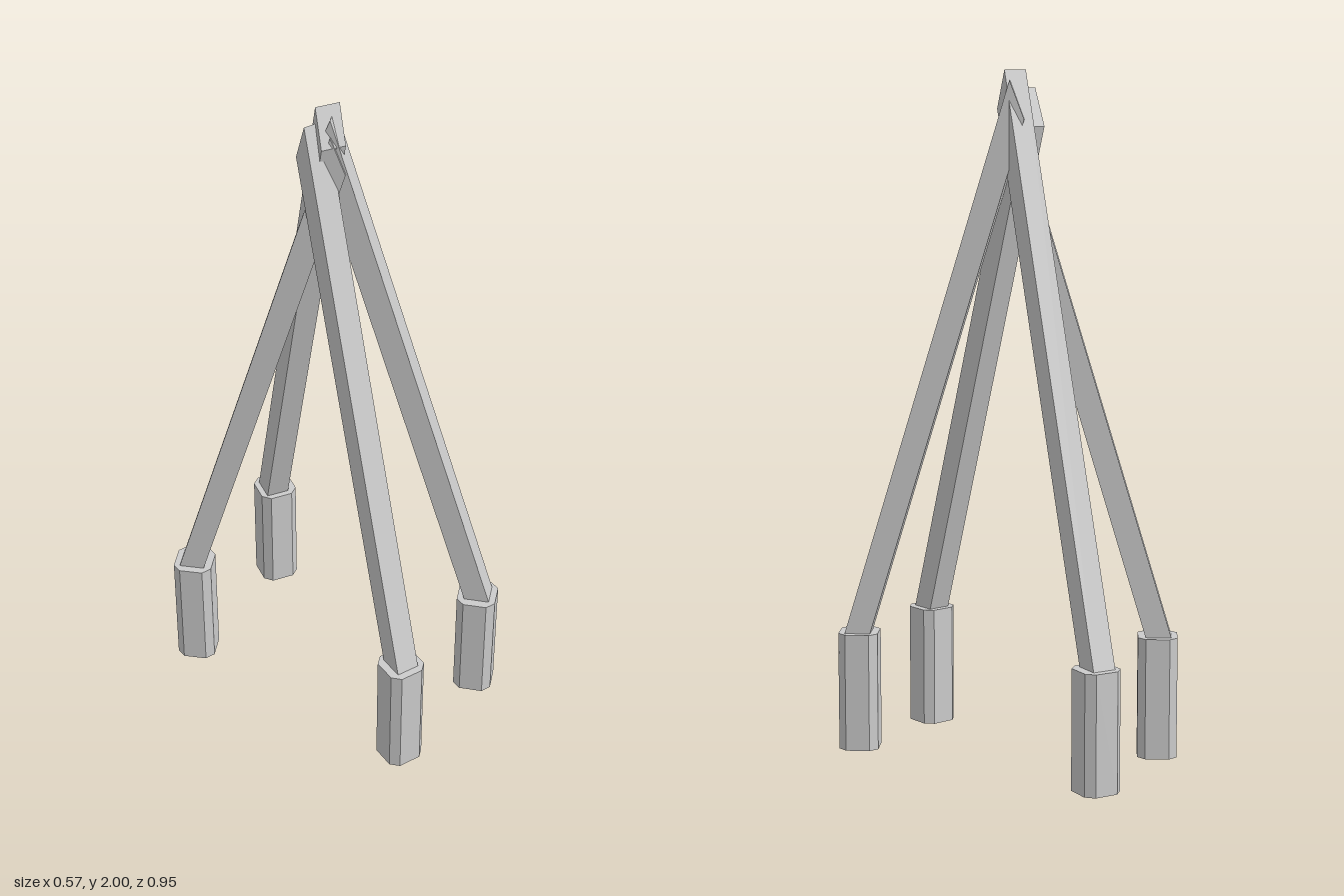
import * as THREE from 'three';

const FOOT_TOP = 0.36;
const material = new THREE.MeshStandardMaterial({ color: 0xcccccc, flatShading: true });

// Square block with chamfered vertical corners
function footGeometry(bottom, half = 0.058, c = 0.023) {
  const k = half - c;
  const corners = [[half, k], [k, half], [-k, half], [-half, k], [-half, -k], [-k, -half], [k, -half], [half, -k]];
  const shape = new THREE.Shape(corners.map(([x, y]) => new THREE.Vector2(x, y)));
  const geometry = new THREE.ExtrudeGeometry(shape, { depth: FOOT_TOP - bottom, bevelEnabled: false });
  return geometry.rotateX(-Math.PI / 2).translate(0, bottom, 0);
}

// Leaning square pole: x points outward, the origin is the middle of its outer top edge
function poleGeometry(run, rise, width = 0.07, thickness = 0.075) {
  const slope = run / rise;
  const low = rise + 0.06; // sunk into the foot
  const cut = 0.11;        // drop of the steep end cut
  const shape = new THREE.Shape([
    new THREE.Vector2(0, 0),
    new THREE.Vector2(slope * cut - thickness, -cut),
    new THREE.Vector2(slope * low - thickness, -low),
    new THREE.Vector2(slope * low, -low),
  ]);
  const geometry = new THREE.ExtrudeGeometry(shape, { depth: width, bevelEnabled: false });
  return geometry.translate(0, 0, -width / 2);
}

// foot: centre [x, z]; base: outer edge of the pole at the foot top [x, z]; top: outer top edge [x, y, z]
const legs = [
  { name: 'backRightLeg', foot: [-0.217, -0.383], base: [-0.235, -0.418], top: [-0.018, 1.92, 0], bottom: 0 },
  { name: 'backLeftLeg', foot: [0.215, -0.406], base: [0.228, -0.439], top: [-0.022, 2, -0.012], bottom: 0.01 },
  { name: 'frontRightLeg', foot: [-0.21, 0.393], base: [-0.222, 0.427], top: [-0.052, 1.95, -0.03], bottom: 0 },
  { name: 'frontLeftLeg', foot: [0.176, 0.404], base: [0.195, 0.438], top: [-0.011, 1.97, -0.003], bottom: 0.01 },
];

export function createModel() {
  const model = new THREE.Group();
  model.name = 'fourLeggedStand';
  for (const { name, foot, base, top, bottom } of legs) {
    const leg = new THREE.Group();
    leg.name = name;
    const dx = base[0] - top[0];
    const dz = base[1] - top[2];
    const turn = Math.atan2(-dz, dx);

    const pole = new THREE.Mesh(poleGeometry(Math.hypot(dx, dz), top[1] - FOOT_TOP), material);
    pole.name = 'pole';
    pole.position.set(...top);
    pole.rotation.y = turn;

    const block = new THREE.Mesh(footGeometry(bottom), material);
    block.name = 'foot';
    block.position.set(foot[0], 0, foot[1]);
    block.rotation.y = turn;

    leg.add(pole, block);
    model.add(leg);
  }
  return model;
}
